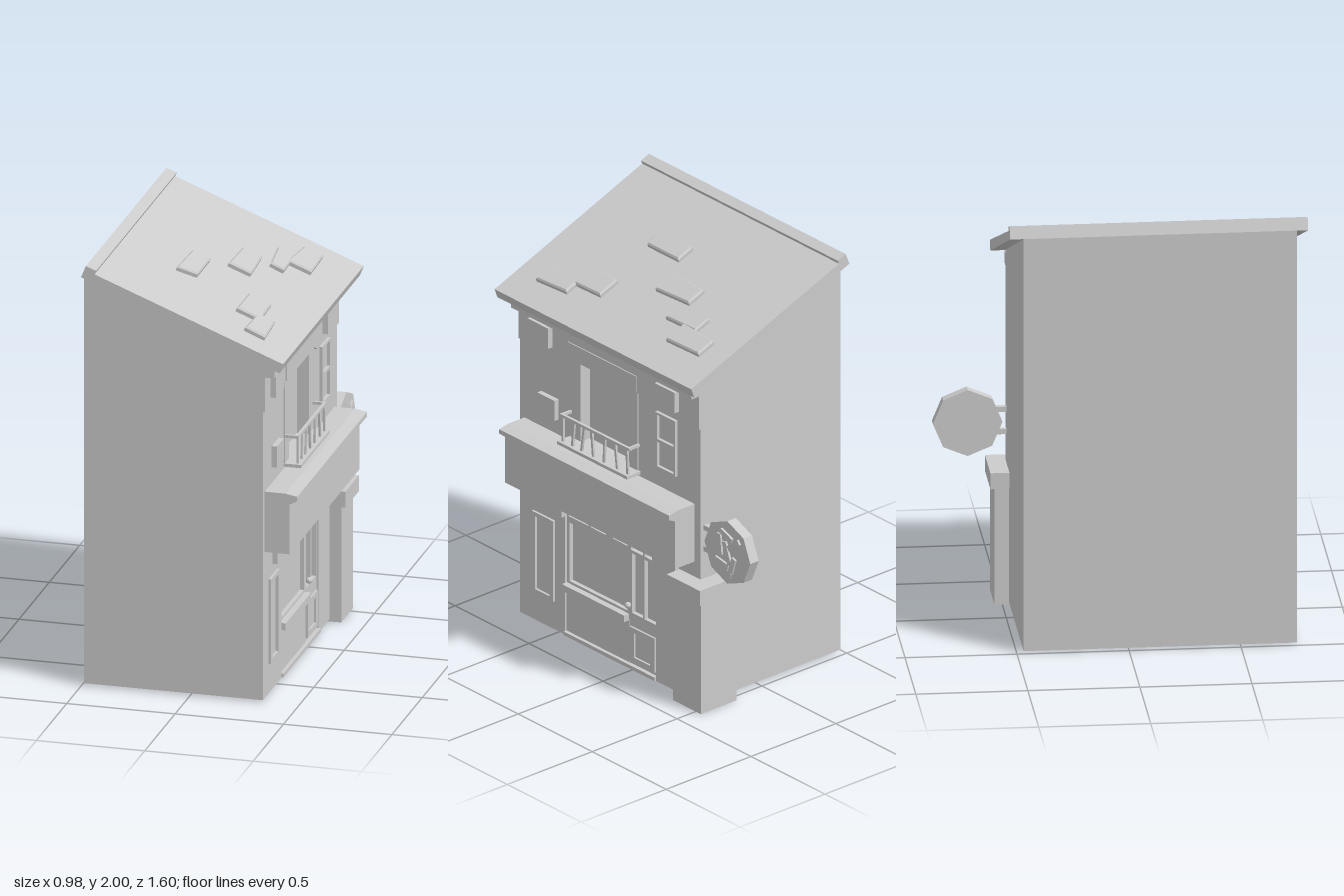
import * as THREE from 'three';

const mat = new THREE.MeshStandardMaterial({ color: 0xcccccc, flatShading: true, side: THREE.DoubleSide });

export function createModel() {
  const root = new THREE.Group();
  const add = (name, geo, parent = root) => {
    const m = new THREE.Mesh(geo, mat);
    m.name = name;
    parent.add(m);
    return m;
  };
  const box = (name, x0, x1, y0, y1, z0, z1, parent) => add(name,
    new THREE.BoxGeometry(x1 - x0, y1 - y0, z1 - z0)
      .translate((x0 + x1) / 2, (y0 + y1) / 2, (z0 + z1) / 2), parent);
  const rect = (z0, z1, y0, y1) => [[z0, y0], [z1, y0], [z1, y1], [z0, y1]];
  // Outline in (z, y), pushed out along x from x0 to x1, with optional holes
  const facade = (name, pts, x0, x1, holes = [], parent) => {
    const v = a => a.map(([z, y]) => new THREE.Vector2(-z, y));
    const s = new THREE.Shape(v(pts));
    holes.forEach(h => s.holes.push(new THREE.Path(v(h))));
    return add(name, new THREE.ExtrudeGeometry(s, { depth: x1 - x0, bevelEnabled: false })
      .rotateY(Math.PI / 2).translate(x0, 0, 0), parent);
  };
  // Outline in (x, y), pushed along z
  const profile = (name, pts, z0, z1) => add(name, new THREE.ExtrudeGeometry(
    new THREE.Shape(pts.map(p => new THREE.Vector2(...p))), { depth: z1 - z0, bevelEnabled: false })
    .translate(0, 0, z0));

  // Walls: an open-bottomed shell with a front wall pierced for shop and balcony
  const B = -0.49, F = 0.335, Z0 = -0.47, Z1 = 0.75;
  const side = new THREE.Shape([[B, 0.01], [F, 0.01], [F, 1.614], [B, 1.945]].map(p => new THREE.Vector2(...p)));
  for (const z of [Z0, Z1]) add('sideWall', new THREE.ShapeGeometry(side).translate(0, 0, z));
  add('backWall', new THREE.PlaneGeometry(Z1 - Z0, 1.935).rotateY(-Math.PI / 2)
    .translate(B, 0.9775, (Z0 + Z1) / 2));
  const shop = rect(-0.17, 0.445, 0.015, 0.7), balcony = rect(-0.05, 0.41, 1.0, 1.4);
  facade('frontWall', rect(Z0, Z1, 0.01, 1.61), 0.29, F, [shop, balcony]);

  // Roof slab with a raised lip along its high edge
  profile('roof', [[B, 1.945], [0.425, 1.58], [0.442, 1.625], [-0.428, 1.965],
    [-0.42, 1.982], [-0.468, 2.0]], -0.53, 0.8);

  // Loose roof tiles: corners given in (x, z)
  const slope = Math.atan2(0.34, 0.87), c = Math.cos(slope);
  const tiles = [
    [[0.195, -0.405], [0.285, -0.405], [0.29, -0.19], [0.18, -0.19]],
    [[0.11, -0.275], [0.19, -0.275], [0.195, -0.08], [0.13, -0.085]],
    [[-0.005, -0.11], [0.085, -0.11], [0.095, 0.105], [-0.01, 0.105]],
    [[-0.165, 0.15], [-0.08, 0.15], [-0.08, 0.36], [-0.17, 0.385]],
    [[0.14, 0.305], [0.245, 0.305], [0.25, 0.505], [0.14, 0.505]],
    [[0.225, 0.465], [0.305, 0.465], [0.315, 0.66], [0.22, 0.655]],
  ];
  for (const t of tiles) {
    const s = new THREE.Shape(t.map(([x, z]) => new THREE.Vector2((x + 0.428) / c, -z)));
    add('roofTile', new THREE.ExtrudeGeometry(s, {
      depth: 0.016, bevelThickness: 0.007, bevelSize: 0.007, bevelOffset: -0.007, bevelSegments: 1,
    }).rotateX(-Math.PI / 2).rotateZ(-slope).translate(-0.428, 1.965, 0));
  }

  // Cornice, upper band and the small blocks on it
  box('cornice', F, 0.388, 1.535, 1.593, Z0, Z1);
  facade('upperBand', [[Z1, 1.37], [0.6, 1.37], [0.41, 1.4], [-0.05, 1.4], [-0.11, 1.37],
    [Z0, 1.37], [Z0, 1.535], [Z1, 1.535]], F, 0.345);
  for (const [a, b] of [[0.52, 0.66], [-0.335, -0.2]]) box('corniceBlock', F, 0.37, 1.41, 1.51, a, b);
  box('wallBlock', F, 0.36, 1.06, 1.16, 0.49, 0.605);

  // Balcony recess with jambs, lintel and railing
  const bal = new THREE.Group();
  bal.name = 'balcony';
  root.add(bal);
  box('balconyDoor', 0.27, 0.285, 1.0, 1.4, -0.05, 0.41, bal);
  box('jamb', 0.285, 0.34, 1.0, 1.4, 0.335, 0.405, bal);
  box('jamb', 0.285, 0.34, 1.0, 1.4, -0.05, 0.01, bal);
  box('lintel', F, 0.35, 1.4, 1.48, -0.05, 0.41, bal);
  box('balconyFloor', 0.285, 0.415, 0.995, 1.01, -0.065, 0.41, bal);
  box('handRail', 0.388, 0.402, 1.13, 1.143, -0.065, 0.405, bal);
  for (const z of [-0.06, 0.392]) box('sideRail', F, 0.39, 1.13, 1.143, z, z + 0.012, bal);
  [[0.39, 0], [0.32, -0.1], [0.255, -0.15], [0.19, 0.1], [0.11, -0.03], [0.03, 0.13], [-0.045, 0.05]]
    .forEach(([z, tilt]) => {
      const m = add('baluster', new THREE.BoxGeometry(0.01, 0.13, 0.012), bal);
      m.position.set(0.395, 1.07, z);
      m.rotation.x = tilt;
    });

  // Upper window
  facade('windowFrame', rect(-0.315, -0.18, 1.08, 1.355), F, 0.35,
    [rect(-0.303, -0.192, 1.09, 1.21), rect(-0.303, -0.192, 1.225, 1.343)]);

  // Board over the shop with a sloping cap, and blocks below it
  box('shopBoard', F, 0.45, 0.7, 0.96, -0.43, 0.72);
  profile('boardCap', [[F, 0.935], [0.45, 0.935], [0.485, 0.953], [0.485, 0.975], [0.43, 0.985], [F, 0.985]],
    -0.43, 0.72);
  for (const [a, b] of [[0.44, 0.595], [-0.325, -0.17]]) box('boardBracket', F, 0.36, 0.6, 0.7, a, b);

  // Shop front: window, transom, base and sill
  box('shopBacking', 0.29, 0.305, 0.01, 0.7, -0.17, 0.445);
  facade('shopWindowFrame', rect(0.02, 0.445, 0.24, 0.7), 0.305, 0.325, [
    rect(0.035, 0.427, 0.28, 0.57),
    rect(0.3, 0.435, 0.6, 0.665), rect(0.182, 0.285, 0.6, 0.665), rect(0.035, 0.135, 0.6, 0.665)]);
  box('shopBase', 0.305, 0.328, 0.03, 0.24, 0.02, 0.445);
  box('shopSill', 0.305, 0.355, 0.235, 0.268, 0.025, 0.445);
  box('doorStep', 0.305, 0.345, 0.012, 0.03, -0.17, 0.445);

  // Door with panes, lower panel and knob
  facade('door', rect(-0.17, 0.02, 0.03, 0.7), 0.305, 0.325, [
    rect(-0.07, 0.012, 0.59, 0.655), rect(-0.157, -0.08, 0.59, 0.655),
    rect(-0.07, 0.005, 0.28, 0.575), rect(-0.157, -0.08, 0.28, 0.575)]);
  facade('doorPanel', rect(-0.157, 0.01, 0.045, 0.215), 0.325, 0.335, [rect(-0.127, -0.02, 0.07, 0.19)]);
  add('doorKnob', new THREE.SphereGeometry(0.015, 10, 8).translate(0.342, 0.32, 0.014));

  // Framed panel beside the shop window
  facade('noticeFrame', rect(0.515, 0.658, 0.15, 0.55), F, 0.347, [rect(0.538, 0.635, 0.17, 0.53)]);

  // Corner pillar
  box('pillar', 0.18, 0.39, 0, 0.55, -0.535, -0.345);
  box('pillarCap', 0.16, 0.413, 0.55, 0.625, -0.555, -0.33);

  // Hanging octagonal sign with an abstract raised pattern
  const sign = new THREE.Group();
  sign.name = 'hangingSign';
  sign.position.set(0.305, 0.823, -0.645);
  root.add(sign);
  add('signDisc', new THREE.CylinderGeometry(0.155, 0.155, 0.05, 8).rotateZ(Math.PI / 2), sign);
  for (const y of [-0.05, 0.055]) box('signArm', -0.012, 0.012, y - 0.012, y + 0.012, 0.09, 0.18, sign);
  // Bars: z, y, length, tilt
  [[0.045, 0.03, 0.1, 0.1], [0.0, 0.085, 0.08, 1.2], [-0.05, 0.055, 0.09, -0.9], [-0.005, 0.0, 0.11, 0.35],
    [-0.04, -0.05, 0.08, -0.3], [0.03, -0.06, 0.09, 1.4], [0.0, -0.09, 0.07, 1.1]].forEach(([z, y, l, a]) => {
    const m = add('signRelief', new THREE.BoxGeometry(0.012, l, 0.026), sign);
    m.position.set(0.03, y, z);
    m.rotation.x = a;
  });
  return root;
}
